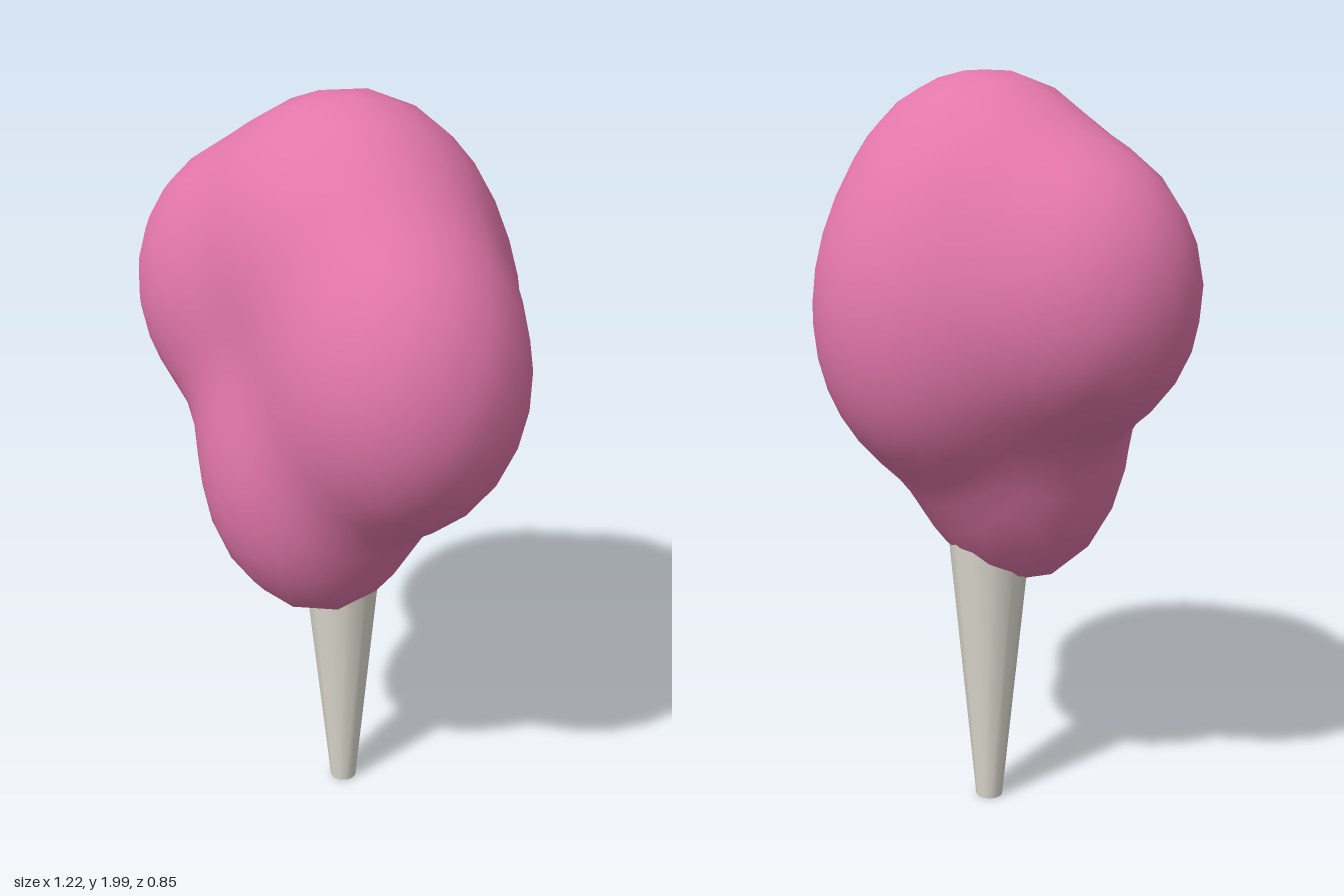
import * as THREE from 'three';
import { mergeVertices } from 'three/addons/utils/BufferGeometryUtils.js';

// Puffs of spun sugar: centre and radii
const puffs = [
  { c: [0.01, 1.625, 0.04], r: [0.36, 0.37, 0.33] },    // crown
  { c: [-0.29, 1.46, 0.105], r: [0.325, 0.365, 0.3] },  // right puff
  { c: [0.285, 1.375, 0.105], r: [0.325, 0.395, 0.3] }, // left puff
  { c: [0, 1.38, -0.08], r: [0.36, 0.44, 0.345] },      // back puff
  { c: [-0.01, 1.06, 0.135], r: [0.315, 0.43, 0.29] },  // lower front puff
];

// Smoothly blended distance to all puffs
function distance(p) {
  const k = 0.05;
  let sum = 0;
  for (const { c, r } of puffs) {
    const q = Math.hypot(...c.map((v, i) => (p.getComponent(i) - v) / r[i]));
    sum += Math.exp(-(q - 1) * Math.min(...r) / k);
  }
  return -k * Math.log(sum);
}

// Push each point of a sphere out from the core to the blended surface
function flossGeometry() {
  let geo = new THREE.IcosahedronGeometry(1, 6);
  geo.deleteAttribute('normal');
  geo.deleteAttribute('uv');
  geo = mergeVertices(geo, 1e-4);
  const core = new THREE.Vector3(0, 1.32, 0.07);
  const pos = geo.attributes.position;
  const dir = new THREE.Vector3(), p = new THREE.Vector3();
  for (let i = 0; i < pos.count; i++) {
    dir.fromBufferAttribute(pos, i).normalize();
    let near = 0, far = 1.2;
    for (let n = 0; n < 24; n++) {
      const mid = (near + far) / 2;
      if (distance(p.copy(core).addScaledVector(dir, mid)) < 0) near = mid;
      else far = mid;
    }
    p.copy(core).addScaledVector(dir, near);
    pos.setXYZ(i, p.x, p.y, p.z);
  }
  geo.computeVertexNormals();
  return geo;
}

export function createModel() {
  const group = new THREE.Group();
  const pink = new THREE.MeshStandardMaterial({ name: 'candy pink', color: 0xe377aa });
  const paper = new THREE.MeshStandardMaterial({ name: 'paper white', color: 0xdedad0 });

  const floss = new THREE.Mesh(flossGeometry(), pink);
  floss.name = 'cottonCandy';
  group.add(floss);

  // Tapered paper cone held in the hand
  const cone = new THREE.Mesh(new THREE.CylinderGeometry(0.121, 0.037, 0.85, 12), paper);
  cone.name = 'paperCone';
  cone.position.set(-0.013, 0.425, 0.042);
  group.add(cone);

  return group;
}
